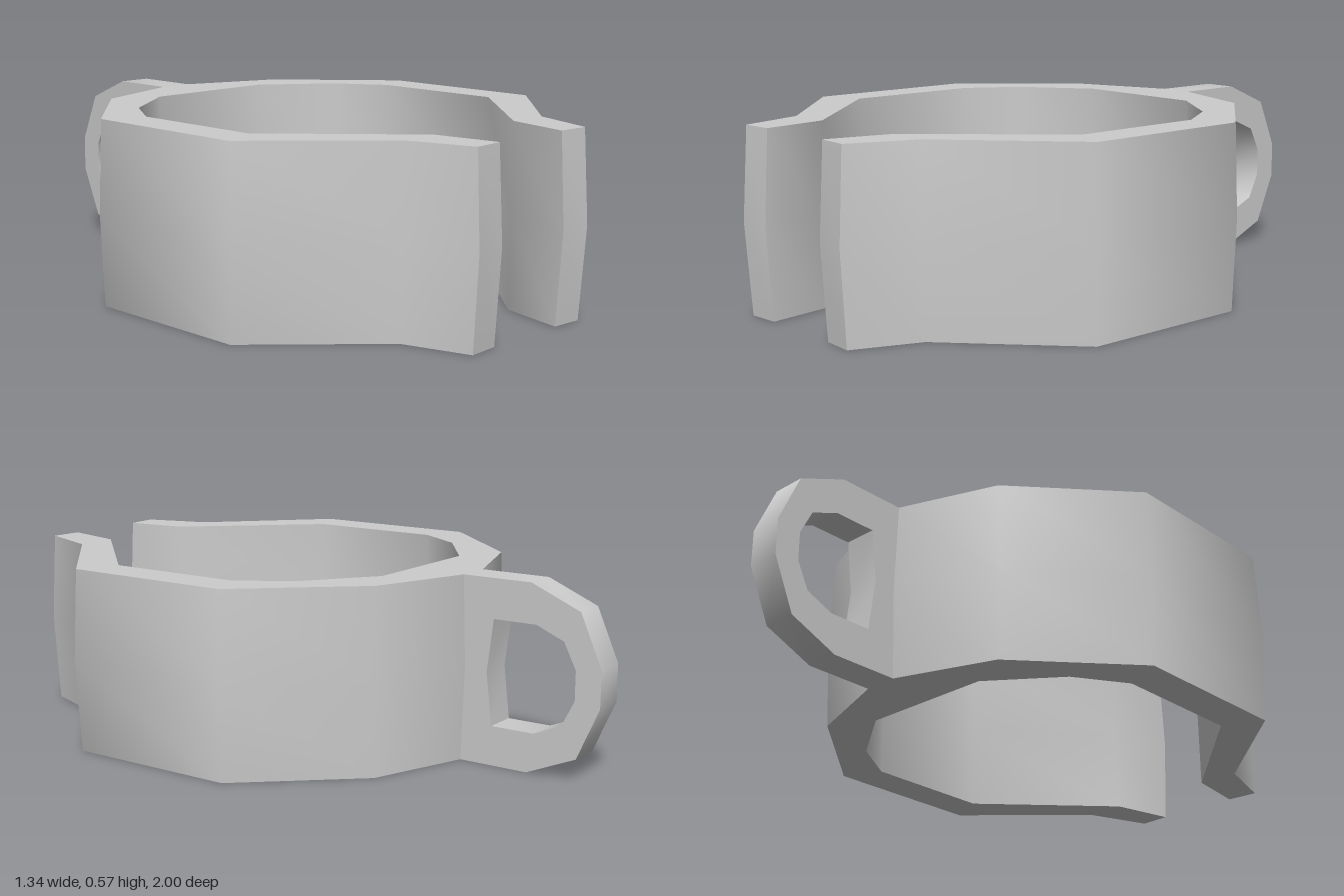
import * as THREE from 'three';
import { toCreasedNormals } from 'three/addons/utils/BufferGeometryUtils.js';

const HEIGHT = 0.57;
const BULGE = 1.018;
const material = new THREE.MeshStandardMaterial({ color: 0xcccccc });

// Half outlines of the band as [x, z, sideways shift], back to front
const outerHalf = [
  [0.052, -0.547, 0], [0.363, -0.437, 0], [0.66, -0.106, 0],
  [0.66, 0.45, 0], [0.313, 0.772, -0.006], [0.243, 0.98, -0.015],
];
const innerHalf = [
  [0.22, -0.365, 0], [0.434, -0.21, 0], [0.535, -0.05, 0],
  [0.535, 0.393, 0], [0.18, 0.768, -0.005], [0.141, 0.973, -0.015],
];

const side = (points, s) => points.map(([x, z, d]) => new THREE.Vector2(s * x + d, -z));

function bandGeometry() {
  const outer = [...side(outerHalf, 1), ...side(outerHalf, -1)];
  const outline = [
    ...side(outerHalf, 1),
    ...side(innerHalf, 1).reverse(),
    ...side(innerHalf, -1),
    ...side(outerHalf, -1).reverse(),
  ];
  const geometry = new THREE.ExtrudeGeometry(new THREE.Shape(outline), {
    depth: HEIGHT, steps: 2, bevelEnabled: false,
  });

  // Swell the outer wall slightly at mid height
  const p = geometry.attributes.position;
  for (let i = 0; i < p.count; i++) {
    const x = p.getX(i), y = p.getY(i);
    const isMiddle = Math.abs(p.getZ(i) - HEIGHT / 2) < 1e-4;
    const isOuter = outer.some((o) => Math.hypot(o.x - x, o.y - y) < 1e-4);
    const isTip = y < -0.9;
    if (isMiddle && (isOuter || isTip)) p.setXY(i, isOuter ? x * BULGE : x, y * BULGE);
  }
  geometry.rotateX(-Math.PI / 2);
  return toCreasedNormals(geometry, 0.95);
}

function loopGeometry() {
  // Profile as [distance behind centre, height]; the upper half mirrors the lower
  const mirrored = (lower) => [
    ...lower, ...lower.map(([u, v]) => [u, HEIGHT - v]).reverse(),
  ].map(([u, v]) => new THREE.Vector2(u, v));

  const shape = new THREE.Shape(mirrored([[0.53, 0], [0.77, 0], [0.93, 0.068], [1, 0.228]]));
  const hole = mirrored([[0.65, 0.122], [0.79, 0.122], [0.88, 0.16], [0.92, 0.24]]);
  hole.push(new THREE.Vector2(0.63, HEIGHT / 2));
  shape.holes.push(new THREE.Path(hole));

  const geometry = new THREE.ExtrudeGeometry(shape, { depth: 0.108, bevelEnabled: false });
  geometry.translate(0, 0, -0.052);
  geometry.rotateY(Math.PI / 2);
  return toCreasedNormals(geometry, 0.95);
}

export function createModel() {
  const group = new THREE.Group();
  group.name = 'clip';

  // Open band that snaps around a tube
  const band = new THREE.Mesh(bandGeometry(), material);
  band.name = 'band';

  // Hanging loop at the back
  const loop = new THREE.Mesh(loopGeometry(), material);
  loop.name = 'hangingLoop';

  group.add(band, loop);
  return group;
}
